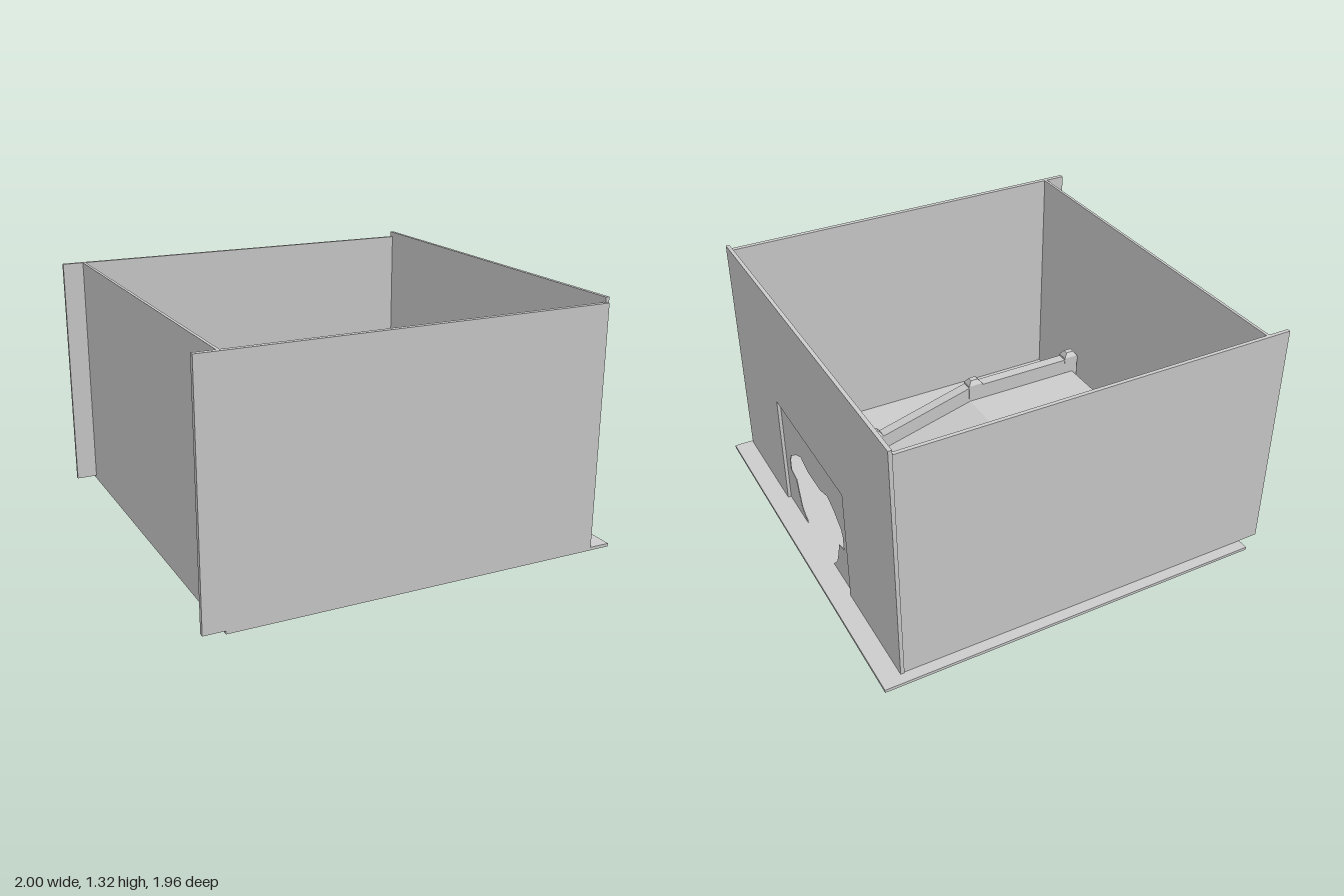
import * as THREE from 'three';

export function createModel() {
  const model = new THREE.Group();
  const mat = new THREE.MeshStandardMaterial({ color: 0xcccccc, flatShading: true, side: THREE.DoubleSide });

  const add = (geometry, name, parent = model) => {
    const mesh = new THREE.Mesh(geometry, mat);
    mesh.name = name;
    parent.add(mesh);
    return mesh;
  };

  // box given by its lower and upper limits on each axis
  const block = (name, [x0, x1], [y0, y1], [z0, z1], parent) =>
    add(new THREE.BoxGeometry(x1 - x0, y1 - y0, z1 - z0), name, parent)
      .position.set((x0 + x1) / 2, (y0 + y1) / 2, (z0 + z1) / 2);

  const extrude = (points, depth) => new THREE.ExtrudeGeometry(
    new THREE.Shape(points.map(([x, y]) => new THREE.Vector2(x, y))),
    { depth, bevelEnabled: false });

  // outline in (z, y), extruded along x
  const sidePanel = (name, points, x, depth) => {
    const g = extrude(points.map(([z, y]) => [-z, y]), depth);
    add(g.rotateY(Math.PI / 2).translate(x, 0, 0), name);
  };

  // floor and the three plain walls
  block('floor', [-0.9, 1], [0.135, 0.15], [-0.98, 0.98]);
  block('frontWall', [-1, 0.9], [0.15, 1.3], [0.957, 0.98]);
  block('backWall', [-1, 0.9], [0.15, 1.3], [-0.926, -0.908]);
  block('leftWall', [-0.9, -0.886], [0.15, 1.3], [-0.908, 0.957]);

  // right wall with its rectangular doorway
  sidePanel('doorWall', [
    [0.97, 0.15], [0.97, 1.325], [-0.93, 1.325], [-0.93, 0.15],
    [-0.385, 0.15], [-0.385, 0.735], [0.425, 0.735], [0.425, 0.15],
  ], 0.887, 0.018);

  // thin recessed panel with an irregular opening
  sidePanel('doorPanel', [
    [0.425, 0.15], [0.425, 0.735], [-0.385, 0.735], [-0.385, 0.15],
    [-0.15, 0.15], [-0.2, 0.205], [-0.225, 0.27], [-0.245, 0.34], [-0.305, 0.355],
    [-0.305, 0.43], [-0.29, 0.465], [-0.21, 0.52], [-0.14, 0.55], [-0.05, 0.52],
    [0.11, 0.52], [0.195, 0.55], [0.26, 0.52], [0.345, 0.46], [0.368, 0.42],
    [0.368, 0.36], [0.3, 0.342], [0.285, 0.29], [0.255, 0.205], [0.19, 0.15],
  ], 0.885, 0.004);

  // raised platform running down into a ramp
  const platform = extrude([
    [-0.85, 0.127], [-0.2, 0.127], [-0.2, 0.134], [0.4, 0.134],
    [0.4, 0.155], [-0.2, 0.315], [-0.85, 0.315],
  ], 1.08);
  add(platform.translate(0, 0, -0.54), 'platformAndRamp');

  // side rails with square posts and tapered caps
  for (const [side, z] of [['left', 0.57], ['right', -0.57]]) {
    const rail = new THREE.Group();
    rail.name = side === 'left' ? 'frontRail' : 'backRail';
    rail.position.z = z;
    model.add(rail);
    const beam = extrude([
      [-0.85, 0.127], [-0.2, 0.127], [-0.17, 0.135], [0.24, 0.03], [0.41, 0.005],
      [0.4, 0.235], [-0.2, 0.4], [-0.885, 0.4],
    ], 0.058);
    add(beam.translate(0, 0, -0.029), 'railBeam', rail);
    for (const [x, top] of [[-0.84, 0.41], [-0.235, 0.41], [0.36, 0.265]]) {
      block('post', [x - 0.04, x + 0.04], [0.15, top], [-0.03, 0.03], rail);
      const cap = new THREE.CylinderGeometry(0.5, 1, 0.025, 4, 1).rotateY(Math.PI / 4);
      cap.scale(0.04 * Math.SQRT2, 1, 0.03 * Math.SQRT2);
      add(cap, 'postCap', rail).position.set(x, top + 0.0125, 0);
    }
  }
  return model;
}
